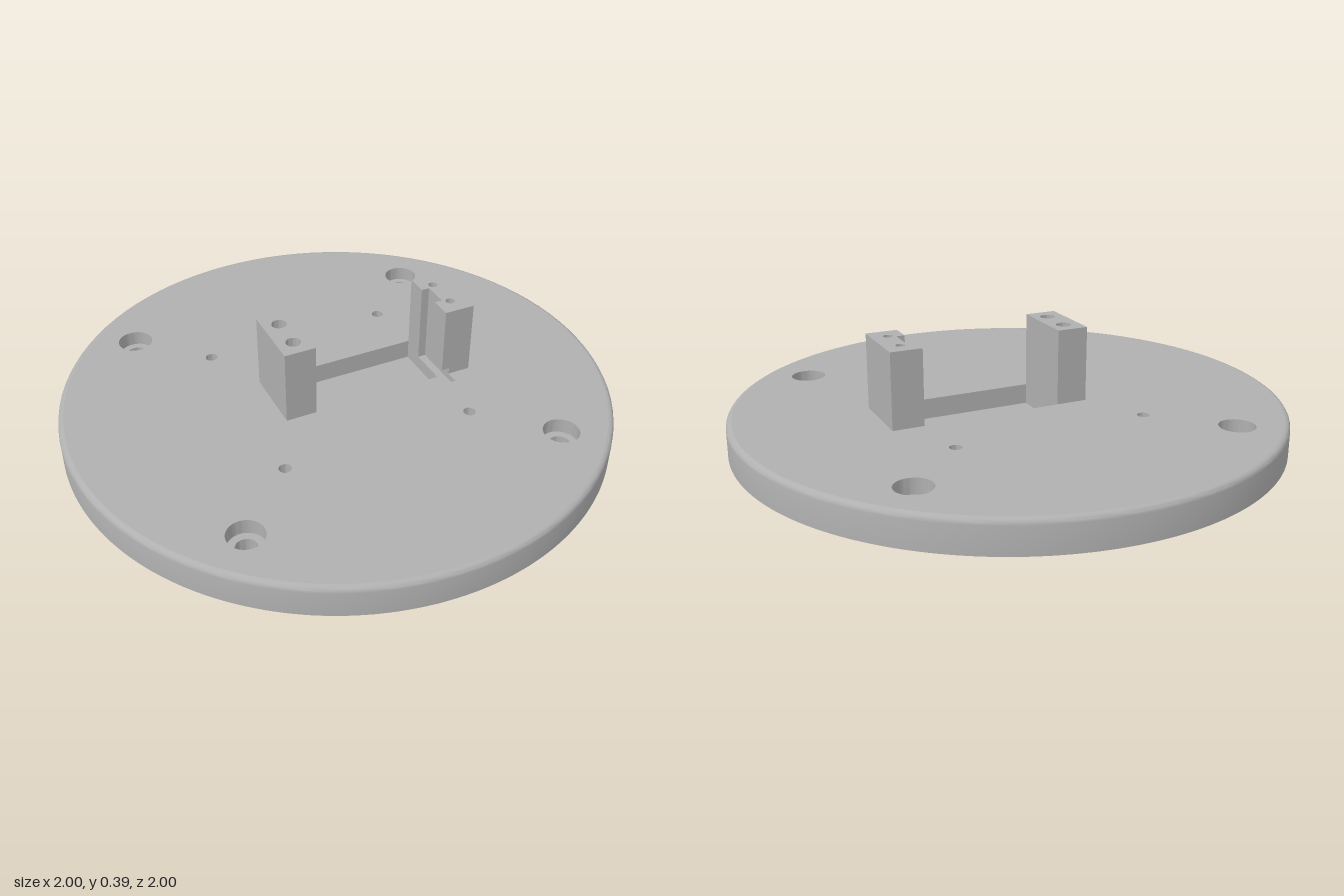
import * as THREE from 'three';
import { toCreasedNormals } from 'three/addons/utils/BufferGeometryUtils.js';

const TOP = 0.115, FLOOR = 0.04, SILL = 0.09, LINTEL = 0.14, POST = 0.39;
const BACK = -0.13, FRONT = 0.125; // z limits of posts and pocket

const rect = (x0, x1, z0, z1) => [[x0, z0], [x1, z0], [x1, z1], [x0, z1]];

export function createModel() {
  const model = new THREE.Group();
  const grey = new THREE.MeshStandardMaterial({ color: 0xb0b0b0, side: THREE.DoubleSide });
  grey.name = 'grey plastic';

  const add = (name, geometry) => {
    const mesh = new THREE.Mesh(geometry, grey);
    mesh.name = name;
    model.add(mesh);
    return mesh;
  };

  // Flat horizontal face; outlines are [x, z] lists, circles are { x, z, r }
  const face = (name, y, outline, holes = [], up = true) => {
    const s = up ? -1 : 1;
    const trace = (path, o) => {
      if (Array.isArray(o)) path.setFromPoints(o.map(([x, z]) => new THREE.Vector2(x, s * z)));
      else path.absarc(o.x, s * o.z, o.r, 0, Math.PI * 2, false);
      return path;
    };
    const shape = trace(new THREE.Shape(), outline);
    shape.holes = holes.map(o => trace(new THREE.Path(), o));
    const g = new THREE.ShapeGeometry(shape, 96);
    g.rotateX(s * Math.PI / 2);
    g.translate(0, y, 0);
    return add(name, g);
  };

  // Vertical wall along a run of [x, z] points
  const wall = (name, points, y0, y1, closed = true) => {
    const run = closed ? [...points, points[0]] : points;
    const v = [];
    for (let i = 0; i < run.length - 1; i++) {
      const [ax, az] = run[i], [bx, bz] = run[i + 1];
      v.push(ax, y0, az, ax, y1, az, bx, y1, bz, ax, y0, az, bx, y1, bz, bx, y0, bz);
    }
    const g = new THREE.BufferGeometry();
    g.setAttribute('position', new THREE.Float32BufferAttribute(v, 3));
    g.computeVertexNormals();
    return add(name, g);
  };

  // Turned surface from [radius, y] points, sharp at its steps
  const turned = (name, profile, x = 0, z = 0) => {
    const g = new THREE.LatheGeometry(profile.map(p => new THREE.Vector2(...p)), 96);
    add(name, toCreasedNormals(g, 0.5)).position.set(x, 0, z);
  };

  // Disc rim with a rounded upper edge
  const rim = [[1, 0]];
  for (let i = 0; i <= 4; i++) {
    const a = i * Math.PI / 8;
    rim.push([0.98 + 0.02 * Math.cos(a), TOP - 0.02 + 0.02 * Math.sin(a)]);
  }
  turned('plateRim', rim);

  // Counterbored mounting holes, and small holes counterbored from below
  const topHoles = [], bottomHoles = [];
  for (const sx of [-1, 1]) for (const sz of [-1, 1]) {
    let x = sx * 0.585, z = sz * 0.585;
    turned('mountingHole', [[0.064, TOP], [0.064, 0.06], [0.037, 0.06], [0.037, 0]], x, z);
    topHoles.push({ x, z, r: 0.064 });
    bottomHoles.push({ x, z, r: 0.037 });
    x = sx * 0.355; z = sz * 0.355;
    turned('smallHole', [[0.022, TOP], [0.022, 0.06], [0.038, 0.06], [0.038, 0]], x, z);
    topHoles.push({ x, z, r: 0.022 });
    bottomHoles.push({ x, z, r: 0.038 });
  }

  // Plate faces, with the top cut out for posts, pocket and cable channel
  const cutout = [[-0.25, BACK], [0.49, BACK], [0.49, FRONT], [0.405, FRONT],
    [0.405, 0.175], [0.365, 0.175], [0.365, FRONT], [-0.25, FRONT]];
  face('plateTop', TOP, { x: 0, z: 0, r: 0.98 }, [...topHoles, cutout]);
  face('plateBottom', 0, { x: 0, z: 0, r: 1 }, bottomHoles, false);

  // Pocket between the posts
  face('pocketFloor', FLOOR, rect(-0.135, 0.375, BACK, FRONT));
  wall('pocketLowerWall', rect(-0.135, 0.375, BACK, FRONT).reverse(), FLOOR, SILL);
  wall('pocketUpperWall', [[0.365, FRONT], [-0.135, FRONT], [-0.135, BACK], [0.375, BACK], [0.375, -0.05]],
    SILL, TOP, false);

  // Cable channel running under the right post and out to the front
  face('channelFloor', SILL, [[0.375, -0.05], [0.405, -0.05], [0.405, 0.175],
    [0.365, 0.175], [0.365, FRONT], [0.375, FRONT]]);
  wall('channelWall', [[0.375, -0.05], [0.405, -0.05], [0.405, 0.175], [0.365, 0.175], [0.365, FRONT]],
    SILL, TOP, false);
  face('channelCeiling', LINTEL, rect(0.375, 0.405, 0.045, FRONT), [], false);

  // Posts: plain block on one side, grooved block on the other
  const plain = rect(-0.25, -0.135, BACK, FRONT);
  const grooved = [[0.375, BACK], [0.49, BACK], [0.49, FRONT], [0.375, FRONT],
    [0.375, 0.045], [0.405, 0.045], [0.405, -0.05], [0.375, -0.05]];
  const foot = [[0.375, BACK], [0.49, BACK], [0.49, FRONT], [0.405, FRONT],
    [0.405, -0.05], [0.375, -0.05]];
  const screws = (x, r) => [-0.065, 0.06].map(z => ({ x, z, r }));
  const plainScrews = screws(-0.19, 0.027), groovedScrews = screws(0.43, 0.017);
  wall('rightPostSides', plain, TOP, POST);
  face('rightPostTop', POST, plain, plainScrews);
  wall('leftPostFoot', foot, TOP, LINTEL);
  wall('leftPostSides', grooved, LINTEL, POST);
  face('leftPostTop', POST, grooved, groovedScrews);

  // Blind screw holes in the posts
  for (const { x, z, r } of [...plainScrews, ...groovedScrews])
    turned('screwHole', [[r, POST], [r, 0.19], [0, 0.19]], x, z);

  return model;
}
